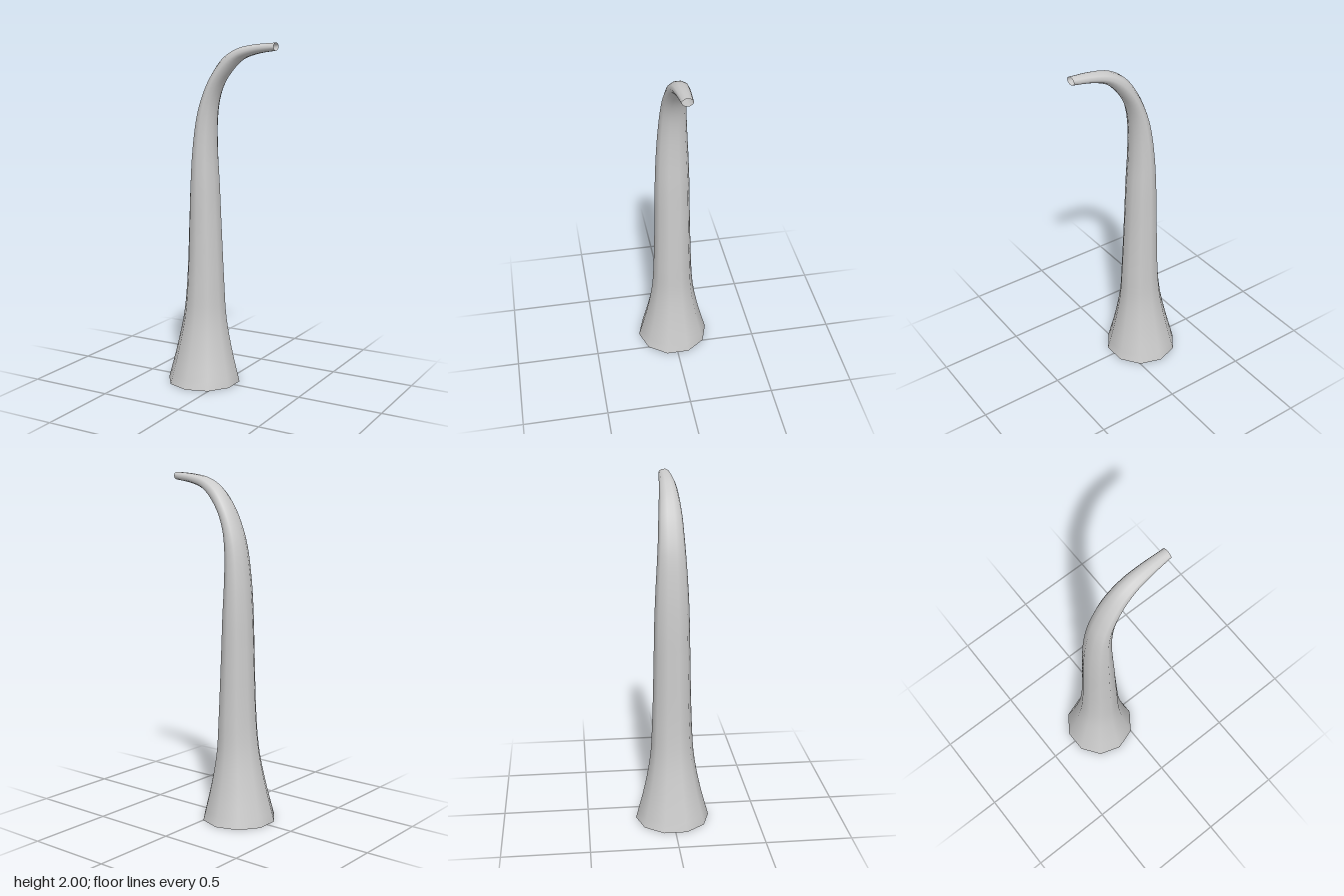
import * as THREE from 'three';

const SIDES = 10;
const STEPS = 48;

// Each section: outer edge (x, y), inner edge (x, y), half depth in z
const sections = [
  [-0.335, 0, 0.077, 0, 0.217],
  [-0.285, 0.2, 0.034, 0.2, 0.165],
  [-0.243, 0.4, 0.002, 0.4, 0.129],
  [-0.222, 0.6, -0.01, 0.6, 0.116],
  [-0.205, 1.0, -0.029, 1.0, 0.105],
  [-0.197, 1.2, -0.038, 1.2, 0.101],
  [-0.182, 1.4, -0.049, 1.38, 0.093],
  [-0.152, 1.6, -0.049, 1.56, 0.081],
  [-0.112, 1.72, -0.033, 1.68, 0.073],
  [-0.062, 1.82, 0.002, 1.77, 0.067],
  [0.01, 1.914, 0.06, 1.848, 0.058],
  [0.1, 1.967, 0.122, 1.904, 0.05],
  [0.2, 1.989, 0.21, 1.937, 0.042],
  [0.333, 2.0, 0.333, 1.957, 0.032],
];

function createHorn() {
  const spline = (pick) => new THREE.CatmullRomCurve3(sections.map(pick));
  const outer = spline((s) => new THREE.Vector3(s[0], s[1], s[4]));
  const inner = spline((s) => new THREE.Vector3(s[2], s[3], s[4]));
  const positions = [];
  const index = [];

  // Rings of ten corners, spanning the outer and inner edges
  for (let i = 0; i <= STEPS; i++) {
    const a = outer.getPoint(i / STEPS);
    const b = inner.getPoint(i / STEPS);
    const mid = a.clone().add(b).multiplyScalar(0.5);
    const half = b.clone().sub(a).multiplyScalar(0.5 / Math.sin(Math.PI * 0.4));
    for (let j = 0; j < SIDES; j++) {
      const t = (j / SIDES) * Math.PI * 2;
      const s = Math.sin(t);
      positions.push(mid.x + half.x * s, mid.y + half.y * s, a.z * Math.cos(t));
      if (i === STEPS) continue;
      const p = i * SIDES + j;
      const q = i * SIDES + ((j + 1) % SIDES);
      index.push(p, q, q + SIDES, p, q + SIDES, p + SIDES);
    }
  }

  const geometry = new THREE.BufferGeometry();
  geometry.setAttribute('position', new THREE.Float32BufferAttribute(positions, 3));
  geometry.setIndex(index);
  geometry.computeVertexNormals();
  return geometry;
}

export function createModel() {
  const group = new THREE.Group();
  group.name = 'curvedHorn';
  // Open at both ends, so the inside shows too
  const material = new THREE.MeshStandardMaterial({ color: 0xcccccc, side: THREE.DoubleSide });
  const horn = new THREE.Mesh(createHorn(), material);
  horn.name = 'hornShell';
  group.add(horn);
  return group;
}
